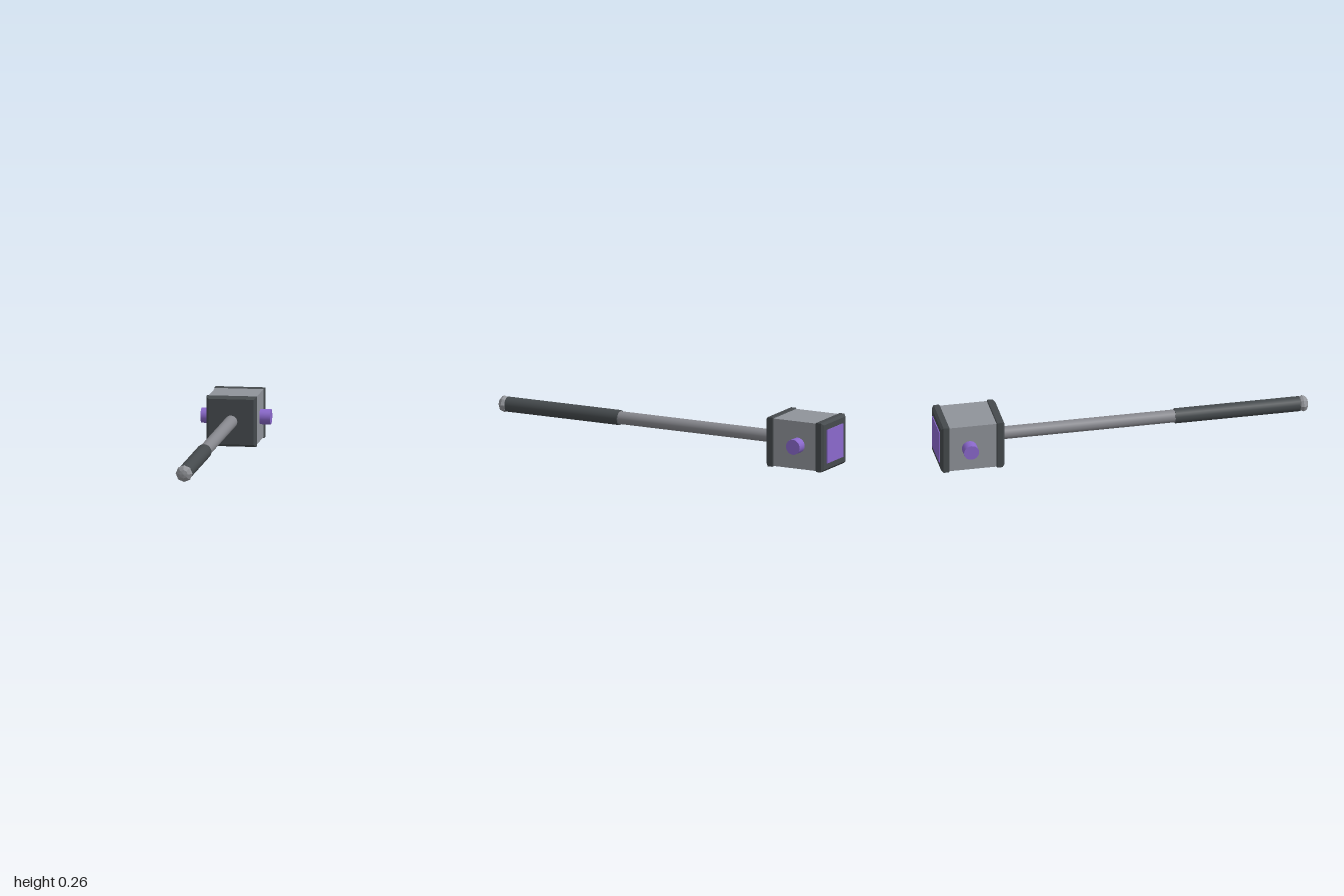
import * as THREE from 'three';

const CY = 0.1325; // height of the hammer's long axis

export function createModel() {
  const steel = new THREE.MeshStandardMaterial({ color: 0x8f939a });
  const rod = new THREE.MeshStandardMaterial({ color: 0x87888e });
  const pommelMetal = new THREE.MeshStandardMaterial({ color: 0x929499, flatShading: true });
  const dark = new THREE.MeshStandardMaterial({ color: 0x454a4d });
  const purple = new THREE.MeshStandardMaterial({ color: 0x8a68cc });

  const group = new THREE.Group();
  const add = (name, geometry, material, x, z) => {
    const mesh = new THREE.Mesh(geometry, material);
    mesh.name = name;
    mesh.position.set(x, CY, z);
    group.add(mesh);
    return mesh;
  };

  // Square band with chamfered front and back edges
  const bandGeometry = (size, depth, bevel) => {
    const h = size / 2 - bevel;
    const shape = new THREE.Shape([
      new THREE.Vector2(-h, -h), new THREE.Vector2(h, -h),
      new THREE.Vector2(h, h), new THREE.Vector2(-h, h),
    ]);
    return new THREE.ExtrudeGeometry(shape, {
      depth: depth - 2 * bevel, bevelEnabled: true,
      bevelSize: bevel, bevelThickness: bevel, bevelSegments: 1,
    }).center();
  };

  // Rod lying along z between two depths
  const alongZ = (name, radius, z0, z1, material) => add(
    name,
    new THREE.CylinderGeometry(radius, radius, z1 - z0, 24).rotateX(Math.PI / 2),
    material, 0, (z0 + z1) / 2,
  );

  // Head
  add('headBlock', new THREE.BoxGeometry(0.256, 0.256, 0.29), steel, 0, -0.825);
  add('frontBand', bandGeometry(0.265, 0.052, 0.012), dark, 0, -0.68);
  add('backBand', bandGeometry(0.265, 0.052, 0.012), dark, 0, -0.969);
  add('strikingPlate', new THREE.BoxGeometry(0.18, 0.18, 0.008), purple, 0, -0.996);

  // Side studs
  for (const side of [-1, 1]) {
    add(side > 0 ? 'leftStud' : 'rightStud',
      new THREE.CylinderGeometry(0.0405, 0.0405, 0.075, 24).rotateZ(Math.PI / 2),
      purple, side * 0.1475, -0.844);
  }

  // Handle
  alongZ('shaft', 0.034, -0.67, 0.3, rod);
  alongZ('grip', 0.04, 0.283, 0.953, dark);
  add('pommel', new THREE.SphereGeometry(0.045, 8, 6).rotateX(Math.PI / 2).scale(1, 1, 0.62),
    pommelMetal, 0, 0.972);

  return group;
}
